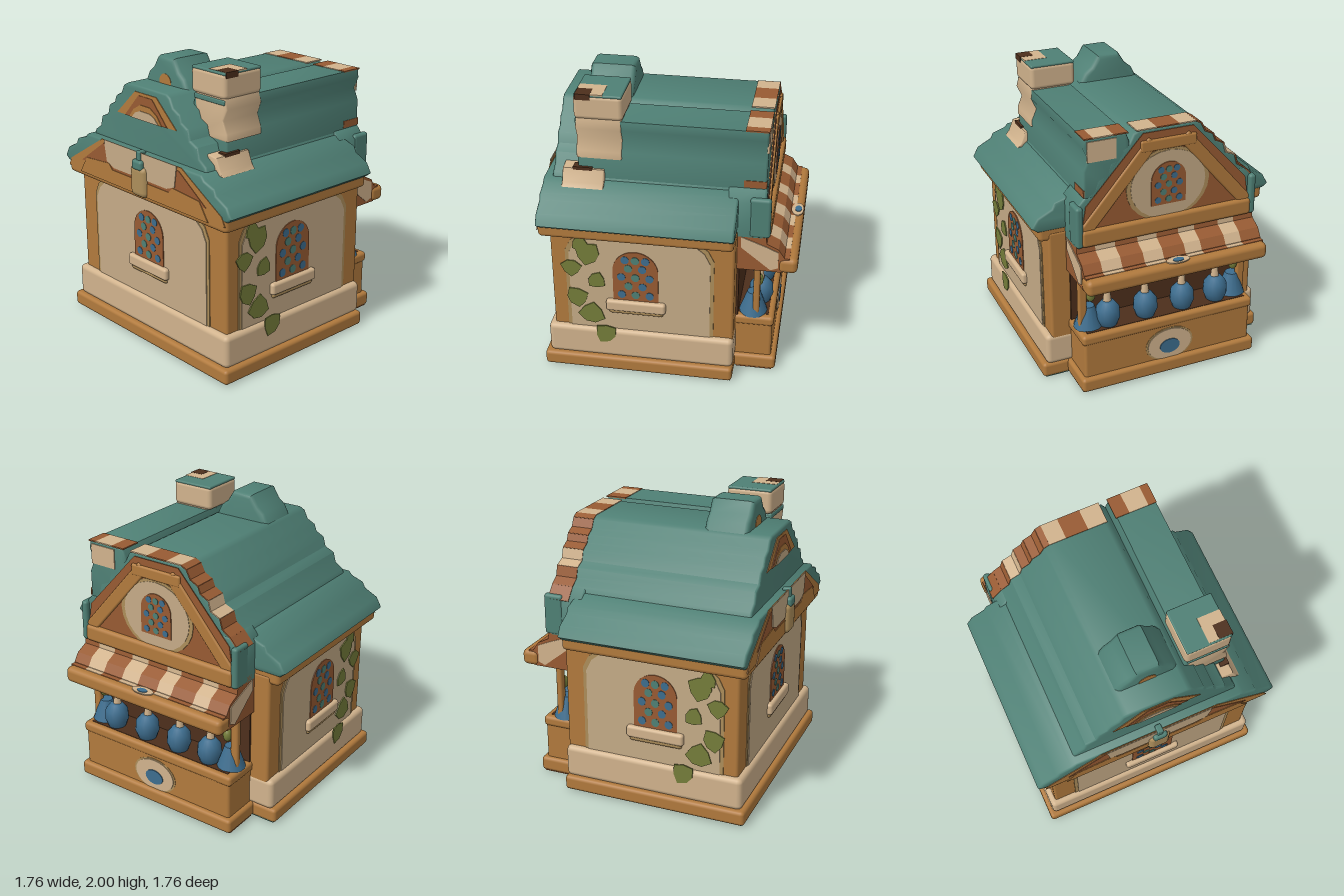
import * as THREE from 'three';
import { RoundedBoxGeometry } from 'three/addons/geometries/RoundedBoxGeometry.js';
import { toCreasedNormals } from 'three/addons/utils/BufferGeometryUtils.js';

const mat = (name, color) => {
  const m = new THREE.MeshStandardMaterial({ color });
  m.name = name;
  return m;
};
const M = {
  teal: mat('roof teal', 0x4f8075), cream: mat('stone cream', 0xd1b38d), wall: mat('plaster', 0xc5ab87),
  orange: mat('oak timber', 0xb17a3d), brown: mat('red brown timber', 0x985b33), dark: mat('dark brown', 0x4d2f1c),
  blue: mat('glazed blue', 0x3d6d8e), green: mat('ivy green', 0x757d3a), tan: mat('tan trim', 0xad8e5b),
};

function add(parent, name, geo, m, x = 0, y = 0, z = 0) {
  const mesh = new THREE.Mesh(geo, m);
  mesh.name = name;
  mesh.position.set(x, y, z);
  parent.add(mesh);
  return mesh;
}

// Box given by its limits on each axis
function box(parent, name, m, x0, x1, y0, y1, z0, z1, r = 0.02) {
  const w = x1 - x0, h = y1 - y0, d = z1 - z0;
  const geo = r ? new RoundedBoxGeometry(w, h, d, 2, r) : new THREE.BoxGeometry(w, h, d);
  return add(parent, name, geo, m, (x0 + x1) / 2, (y0 + y1) / 2, (z0 + z1) / 2);
}

const poly = pts => new THREE.Shape(pts.map(p => new THREE.Vector2(p[0], p[1])));
// Mirror a right-hand profile (listed bottom to top) into a closed outline
const mirrored = pts => poly([...pts, ...pts.map(([x, y]) => [-x, y]).reverse()]);

function arch(w, y0, y1, cx = 0) {
  const s = new THREE.Shape();
  s.moveTo(cx - w, y0);
  s.lineTo(cx + w, y0);
  s.lineTo(cx + w, y1 - w);
  s.absarc(cx, y1 - w, w, 0, Math.PI, false);
  return s;
}

function oval(cx, cy, rx, ry) {
  const s = new THREE.Shape();
  s.absellipse(cx, cy, rx, ry, 0, Math.PI * 2, false);
  return s;
}

// Thin plate whose back sits at z
const plate = (parent, name, m, shape, z, depth = 0.006) =>
  add(parent, name, new THREE.ExtrudeGeometry(shape, { depth, bevelEnabled: false }), m, 0, 0, z);

// Extrusion from z0 to z1 with softened edges
function prism(parent, name, m, shape, z0, z1, b = 0.015) {
  const geo = new THREE.ExtrudeGeometry(shape, {
    depth: z1 - z0 - 2 * b, bevelSize: b, bevelThickness: b, bevelOffset: -b, bevelSegments: 2 });
  return add(parent, name, toCreasedNormals(geo, 0.9), m, 0, 0, z0 + b);
}

// Arched window with scattered glass pieces
function leadedWindow(parent, cx, y0, y1, z, w = 0.155) {
  plate(parent, 'windowFrame', M.brown, arch(w, y0, y1, cx), z);
  const h = y1 - y0;
  [0.12, 0.3, 0.48, 0.66, 0.83].forEach((t, row) => {
    const n = row % 2 ? 2 : 3;
    for (let i = 0; i < n; i++) {
      const x = cx + (i - (n - 1) / 2) * w * (row === 4 ? 0.45 : 0.62);
      plate(parent, 'windowGlass', (i + row) % 2 ? M.teal : M.blue, oval(x, y0 + t * h, w * 0.18, h * 0.075), z + 0.006, 0.003);
    }
  });
}

// Plastered wall face: bordered panel, window and sill
function facade(parent, name, cx, half, winX, winY) {
  const g = new THREE.Group();
  g.name = name;
  const panel = (w, top) => poly([[cx - w, 0.3], [cx + w, 0.3], [cx + w, top - 0.16], [cx + w - 0.04, top - 0.08],
    [cx + w - 0.14, top], [cx - w + 0.14, top], [cx - w + 0.04, top - 0.08], [cx - w, top - 0.16]]);
  plate(g, 'panelBorder', M.tan, panel(half + 0.025, 1.1), 0);
  plate(g, 'plasterPanel', M.wall, panel(half, 1.08), 0.005);
  leadedWindow(g, winX, winY, 0.97, 0.011);
  box(g, 'sillShadow', M.tan, winX - 0.19, winX + 0.19, winY - 0.115, winY, -0.02, 0.03, 0.02);
  box(g, 'windowSill', M.cream, winX - 0.205, winX + 0.205, winY - 0.085, winY, -0.02, 0.045, 0.02);
  parent.add(g);
  return g;
}

export function createModel() {
  const root = new THREE.Group();
  root.name = 'cottageShop';

  // Base, plinth and body
  box(root, 'baseBottom', M.teal, -0.82, 0.82, 0.003, 0.02, -0.47, 0.82, 0);
  box(root, 'baseBoard', M.orange, -0.84, 0.84, 0.005, 0.11, -0.48, 0.84, 0.025);
  box(root, 'stonePlinth', M.cream, -0.81, 0.81, 0.1, 0.33, -0.48, 0.81, 0.035);
  box(root, 'body', M.orange, -0.77, 0.77, 0.25, 1.12, -0.475, 0.77, 0.02);
  box(root, 'eavesBeam', M.orange, -0.835, 0.835, 1.06, 1.18, -0.47, 0.835, 0.03);
  box(root, 'bottomPatch', M.cream, 0.42, 0.68, 0.001, 0.006, 0.42, 0.7, 0);
  box(root, 'bottomPatchCentre', M.dark, 0.5, 0.6, 0, 0.004, 0.5, 0.6, 0);

  // Wall faces
  facade(root, 'frontFacade', 0, 0.585, 0, 0.61).position.z = 0.77;
  for (const s of [1, -1]) {
    const f = facade(root, 'sideFacade', -s * 0.165, 0.48, -s * 0.19, 0.58);
    f.position.x = s * 0.77;
    f.rotation.y = s * Math.PI / 2;
    const ivy = [[0.51, 0.93, 0.09], [0.56, 1.0, 0.06], [0.63, 0.81, 0.07], [0.46, 0.72, 0.065],
      [0.6, 0.57, 0.08], [0.5, 0.44, 0.09], [0.4, 0.3, 0.08]];
    ivy.forEach(([z, y, r], i) => {
      const pts = [...Array(7)].map((_, k) => {
        const a = k / 7 * Math.PI * 2 + i, q = r * (k % 2 ? 1.08 : 0.85);
        return [-s * z + q * Math.cos(a), y + q * Math.sin(a)];
      });
      plate(f, 'ivyLeaf', M.green, poly(pts), y < 0.4 ? 0.037 : 0.01, 0.009);
    });
  }

  // Stepped roof
  const upper = [[0.6, 1.36], [0.58, 1.42], [0.52, 1.46], [0.5, 1.53], [0.43, 1.56], [0.41, 1.63],
    [0.35, 1.66], [0.33, 1.71], [0.27, 1.74], [0.24, 1.8], [0.2, 1.82]];
  prism(root, 'lowerRoof', M.teal, mirrored([[0.84, 1.14], [0.88, 1.17], [0.84, 1.24], [0.74, 1.29], [0.72, 1.33], [0.63, 1.36], [0.6, 1.39]]), -0.475, 0.835);
  prism(root, 'upperRoof', M.teal, mirrored(upper), -0.65, 0.775);
  prism(root, 'backRoof', M.teal, mirrored([[0.65, 1.08], [0.65, 1.34], [0.58, 1.42]]), -0.655, -0.4);

  // Flat-topped roof section along the left
  const shelf = [[0.27, 1.36], [0.585, 1.36], [0.585, 1.6], [0.55, 1.68], [0.585, 1.76], [0.575, 1.82], [0.29, 1.82], [0.265, 1.75]];
  prism(root, 'sideRoof', M.teal, poly(shelf), -0.65, 0.6);
  box(root, 'sideRoofEnd', M.cream, 0.36, 0.56, 1.66, 1.8, -0.656, -0.64, 0);

  // Striped tiles on the back end of the roof
  const edges = [-0.65, -0.5, -0.38, -0.2, -0.08, 0.08, 0.22, 0.38, 0.52, 0.65];
  const stripe = x => (edges.findIndex(e => e > x) % 2 ? M.brown : M.cream);
  const tops = [[-0.2, -0.08], [-0.08, 0.08], [0.08, 0.22], [0.28, 0.38], [0.38, 0.52], [0.52, 0.58]];
  for (const [a, b] of tops) box(root, 'ridgeStripe', stripe((a + b) / 2), a, b, 1.816, 1.825, -0.655, -0.5, 0);
  const slope = [[0.65, 1.34], ...upper.slice(1)];
  slope.slice(1).forEach(([x, y], i) => {
    const [px, py] = slope[i];
    const t = box(root, 'slopeStripe', stripe(-(x + px) / 2), 0, Math.hypot(px - x, y - py) + 0.006, 0, 0.009, -0.655, -0.5, 0);
    t.position.set(-(x + px) / 2, (y + py) / 2, -0.578);
    t.rotation.z = Math.atan2(y - py, px - x);
  });
  box(root, 'sideStripe', M.brown, 0.58, 0.589, 1.42, 1.47, -0.65, -0.5, 0);

  // Front gable
  plate(root, 'gableTimber', M.orange, mirrored([[0.83, 1.11], [0.8, 1.17], [0.42, 1.395]]), 0.833);
  plate(root, 'gableInnerTimber', M.brown, mirrored([[0.66, 1.19], [0.4, 1.37]]), 0.837);
  plate(root, 'gableBeam', M.orange, mirrored([[0.68, 1.1], [0.6, 1.22], [0.34, 1.24], [0.3, 1.2]]), 0.841);
  plate(root, 'gablePanel', M.wall, mirrored([[0.28, 1.22], [0.36, 1.25], [0.385, 1.4]]), 0.842);
  box(root, 'gableCorbel', M.tan, -0.08, 0.08, 1.09, 1.31, 0.78, 0.875, 0.04);
  box(root, 'corbelCap', M.teal, -0.05, 0.05, 1.28, 1.35, 0.8, 0.878, 0.02);
  box(root, 'corbelStem', M.teal, -0.022, 0.022, 1.33, 1.41, 0.8, 0.86, 0.01);
  plate(root, 'upperTimber', M.orange, mirrored([[0.31, 1.6], [0.11, 1.78]]), 0.774);
  plate(root, 'upperTimberInner', M.brown, mirrored([[0.22, 1.6], [0.07, 1.76]]), 0.778);
  plate(root, 'upperArch', M.orange, mirrored([[0.17, 1.6], [0.12, 1.66], [0.05, 1.7]]), 0.782);
  plate(root, 'upperPanel', M.wall, mirrored([[0.14, 1.6], [0.1, 1.64], [0.05, 1.66]]), 0.786);

  // Roof turret
  prism(root, 'turret', M.teal, mirrored([[0.28, 1.72], [0.21, 1.82], [0.18, 1.88], [0.13, 1.92], [0.08, 2]]), 0.3, 0.61, 0.03);
  plate(root, 'turretVent', M.orange, arch(0.06, 1.82, 1.89), 0.607);

  // Chimney, growing out of the flat roof section
  prism(root, 'chimneyShaft', M.cream, poly([[0.32, 1.55], [0.592, 1.55], [0.59, 1.6], [0.557, 1.68], [0.591, 1.76],
    [0.57, 1.84], [0.3, 1.84], [0.29, 1.78]]), 0.3, 0.605, 0.012);
  box(root, 'chimneyBand', M.teal, 0.285, 0.575, 1.785, 1.82, 0.4, 0.612, 0.01);
  box(root, 'chimneyCap', M.cream, 0.26, 0.585, 1.82, 1.992, 0.29, 0.615, 0.03);
  box(root, 'chimneyTop', M.teal, 0.265, 0.58, 1.975, 1.997, 0.295, 0.61, 0.01);
  box(root, 'chimneyTopPatch', M.cream, 0.42, 0.58, 1.99, 1.999, 0.42, 0.6, 0);
  box(root, 'chimneyFlue', M.dark, 0.49, 0.587, 1.96, 2, 0.5, 0.6, 0);
  prism(root, 'slopePatch', M.cream, poly([[0.5, 1.48], [0.5, 1.37], [0.66, 1.355], [0.635, 1.385], [0.6, 1.47]]), 0.42, 0.7, 0.008);
  box(root, 'slopePatchFlue', M.dark, 0.54, 0.604, 1.45, 1.483, 0.5, 0.63, 0);

  // Back gable
  const back = new THREE.Group();
  back.name = 'backGable';
  back.rotation.y = Math.PI;
  back.position.z = -0.65;
  root.add(back);
  plate(back, 'gableWall', M.brown, mirrored([[0.62, 1.12], [0.58, 1.36], [0.18, 1.8]]), 0.008);
  plate(back, 'gableSurround', M.tan, oval(0, 1.42, 0.3, 0.26), 0.013);
  plate(back, 'gablePlaster', M.wall, oval(0, 1.42, 0.27, 0.24), 0.016);
  leadedWindow(back, 0, 1.28, 1.58, 0.022, 0.125);
  for (const s of [1, -1]) {
    const rake = box(back, 'rakeTimber', M.orange, -0.37, 0.37, -0.045, 0.045, 0, 0.03, 0.014);
    rake.position.set(s * 0.35, 1.46, 0.012);
    rake.rotation.z = -s * 0.86;
    box(back, 'gableFin', M.teal, s * 0.63 - 0.025, s * 0.63 + 0.025, 1.08, 1.37, -0.1, 0.04, 0.02);
  }
  box(back, 'collarBeam', M.orange, -0.2, 0.2, 1.67, 1.75, 0, 0.03, 0.014);
  box(back, 'gableSillBeam', M.orange, -0.62, 0.62, 1.08, 1.2, -0.1, 0.045, 0.025);

  // Market stall
  const stall = new THREE.Group();
  stall.name = 'marketStall';
  root.add(stall);
  box(stall, 'stallBase', M.orange, -0.66, 0.66, 0.005, 0.11, -0.765, -0.4, 0.025);
  box(stall, 'counter', M.orange, -0.63, 0.63, 0.08, 0.4, -0.73, -0.4, 0.02);
  box(stall, 'counterTop', M.orange, -0.645, 0.645, 0.36, 0.435, -0.74, -0.42, 0.025);
  box(stall, 'stallBackWall', M.dark, -0.63, 0.63, 0.42, 0.86, -0.49, -0.46, 0);
  box(stall, 'counterSurface', M.dark, -0.6, 0.6, 0.43, 0.438, -0.7, -0.47, 0);
  box(stall, 'awningUnderside', M.dark, -0.62, 0.62, 0.814, 0.83, -0.84, -0.46, 0);
  const medallion = new THREE.Group();
  medallion.name = 'counterMedallion';
  medallion.rotation.y = Math.PI;
  medallion.position.z = -0.727;
  stall.add(medallion);
  plate(medallion, 'medallionRim', M.tan, oval(0, 0.22, 0.18, 0.13), 0);
  plate(medallion, 'medallionFace', M.cream, oval(0, 0.22, 0.165, 0.12), 0.005);
  plate(medallion, 'medallionCentre', M.blue, oval(0, 0.205, 0.075, 0.055), 0.011);

  // Striped awning, lip and stripes beneath the base
  const awning = [[0.46, 0.825], [0.78, 0.825], [0.79, 0.94], [0.75, 1.0], [0.67, 1.04], [0.66, 1.12], [0.46, 1.12]];
  for (let i = 0; i < 9; i++) {
    const m = i % 2 ? M.cream : M.brown, a = edges[i], b = edges[i + 1];
    const geo = new THREE.ExtrudeGeometry(poly(awning), { depth: b - a, bevelEnabled: false });
    add(stall, 'awningStripe', geo.rotateY(Math.PI / 2), m, a);
    box(stall, 'baseStripe', m, a, b, 0.002, 0.01, -0.74, -0.49, 0);
    box(stall, 'lipStripe', m, a, b, 0.925, 0.936, -0.825, -0.77, 0);
  }
  const endPatch = [[0.5, 1.08], [0.5, 1.0], [0.7, 0.84], [0.75, 0.86], [0.75, 0.98], [0.66, 1.02]];
  for (const x of [-0.656, 0.65]) {
    const geo = new THREE.ExtrudeGeometry(poly(endPatch), { depth: 0.006, bevelEnabled: false });
    add(stall, 'awningEndStripe', geo.rotateY(Math.PI / 2), M.cream, x);
  }
  box(stall, 'awningLip', M.orange, -0.66, 0.66, 0.82, 0.932, -0.88, -0.75, 0.035);
  const badge = add(stall, 'awningBadge', new THREE.CylinderGeometry(0.085, 0.085, 0.008, 20), M.cream, 0, 0.937, -0.835);
  badge.scale.z = 0.5;
  add(stall, 'badgeCentre', new THREE.CylinderGeometry(0.04, 0.04, 0.008, 16), M.blue, 0, 0.941, -0.84).scale.z = 0.6;

  // Posts and pots
  for (const s of [1, -1]) {
    box(stall, 'stallPost', M.orange, s * 0.6 - 0.03, s * 0.6 + 0.03, 0.42, 0.84, -0.635, -0.59, 0.015);
    add(stall, 'endPot', new THREE.CylinderGeometry(0.045, 0.1, 0.16, 14), M.blue, s * 0.55, 0.51, -0.59);
    add(stall, 'herb', new THREE.SphereGeometry(0.032, 10, 8), M.green, s * 0.54, 0.68, -0.62).scale.y = 1.5;
  }
  const profile = [[0, -0.1], [0.055, -0.1], [0.085, -0.02], [0.08, 0.05], [0.045, 0.095], [0, 0.1]].map(p => new THREE.Vector2(...p));
  for (const x of [-0.4, -0.14, 0.14, 0.42]) {
    add(stall, 'pot', new THREE.LatheGeometry(profile, 18), M.blue, x, 0.515, -0.63);
    add(stall, 'potHanger', new THREE.CylinderGeometry(0.02, 0.03, 0.09, 10), M.cream, x, 0.65, -0.62);
  }
  return root;
}
